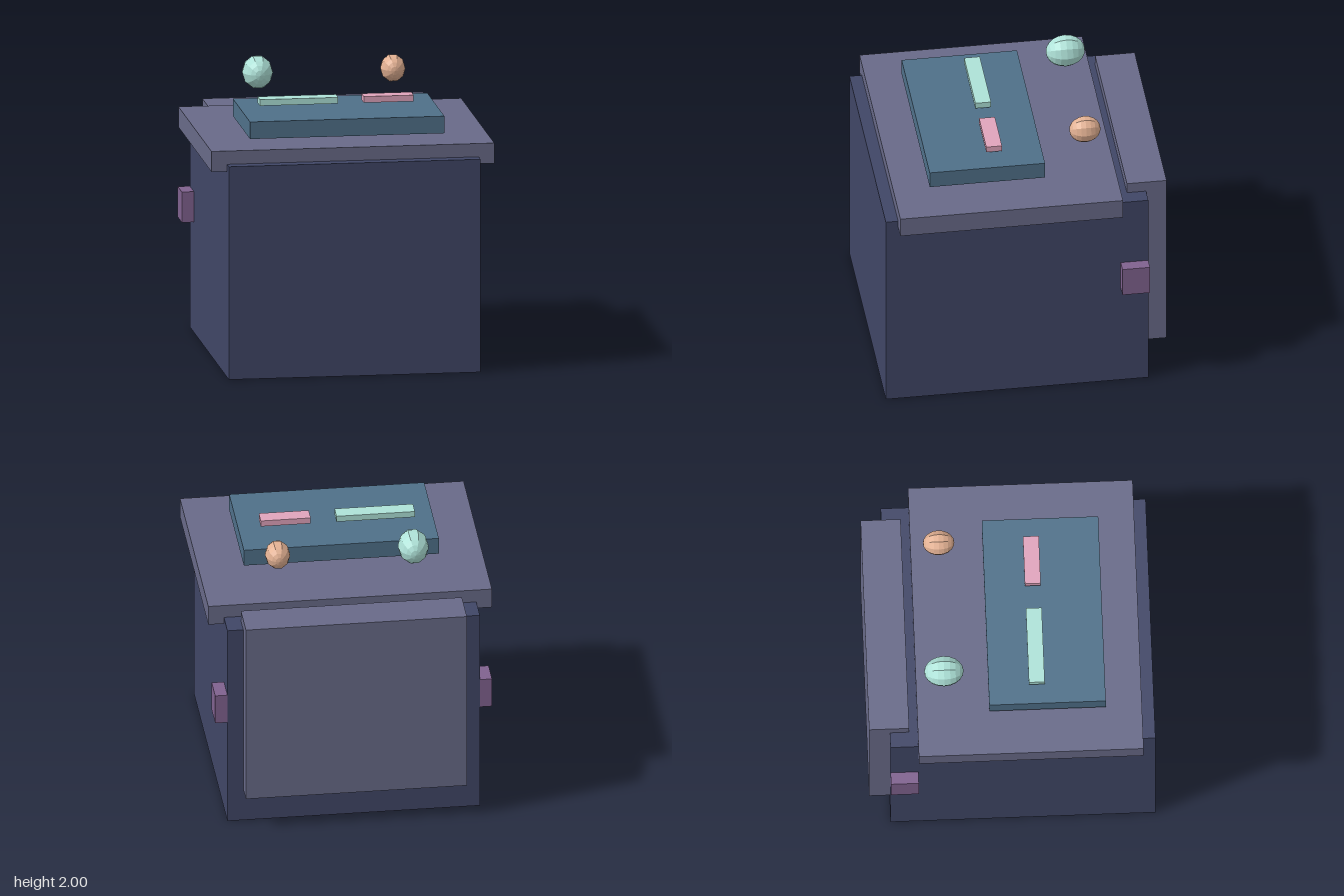
import * as THREE from 'three';

const mat = (color) => new THREE.MeshStandardMaterial({ color, flatShading: true });
const navy = mat(0x404666), slate = mat(0x686a88), teal = mat(0x4f7089);
const mint = mat(0xaee2d8), pink = mat(0xe0a4bc), peach = mat(0xe3b193), purple = mat(0x80628f);

export function createModel() {
  const model = new THREE.Group();

  const add = (name, geometry, material) => {
    const mesh = new THREE.Mesh(geometry, material);
    mesh.name = name;
    model.add(mesh);
    return mesh;
  };

  // Box spanning the given [min, max] ranges
  const block = (name, material, [x0, x1], [y0, y1], [z0, z1]) =>
    add(name, new THREE.BoxGeometry(x1 - x0, y1 - y0, z1 - z0), material)
      .position.set((x0 + x1) / 2, (y0 + y1) / 2, (z0 + z1) / 2);

  // Low-poly ellipsoid with its poles along z
  const knob = (name, material, position, [rx, ry, rz]) => {
    const geometry = new THREE.SphereGeometry(1, 10, 10).rotateX(Math.PI / 2).scale(rx, ry, rz);
    add(name, geometry, material).position.set(...position);
  };

  // Main cabinet with overhanging lid and rear panel
  block('body', navy, [-0.89, 0.89], [0, 1.52], [-0.855, 1]);
  block('lid', slate, [-1, 1], [1.47, 1.615], [-0.66, 0.913]);
  block('backPanel', slate, [-0.78, 0.778], [0.247, 1.597], [-1, -0.72]);

  // Side lugs, partly sunk into the body
  for (const [name, x] of [['leftLug', 0.868], ['rightLug', -0.868]])
    block(name, purple, [x - 0.108, x + 0.108], [0.787, 1.005], [-0.854, -0.66]);

  // Raised screen with two bars floating above it
  block('screen', teal, [-0.69, 0.685], [1.643, 1.765], [-0.155, 0.66]);
  block('longBar', mint, [-0.557, -0.004], [1.79, 1.834], [0.127, 0.238]);
  block('shortBar', pink, [0.178, 0.53], [1.79, 1.834], [0.127, 0.238]);

  // Rounded knobs behind the screen
  knob('largeKnob', mint, [-0.47, 1.887, -0.465], [0.108, 0.118, 0.138]);
  knob('smallKnob', peach, [0.487, 1.887, -0.465], [0.088, 0.098, 0.11]);

  return model;
}
